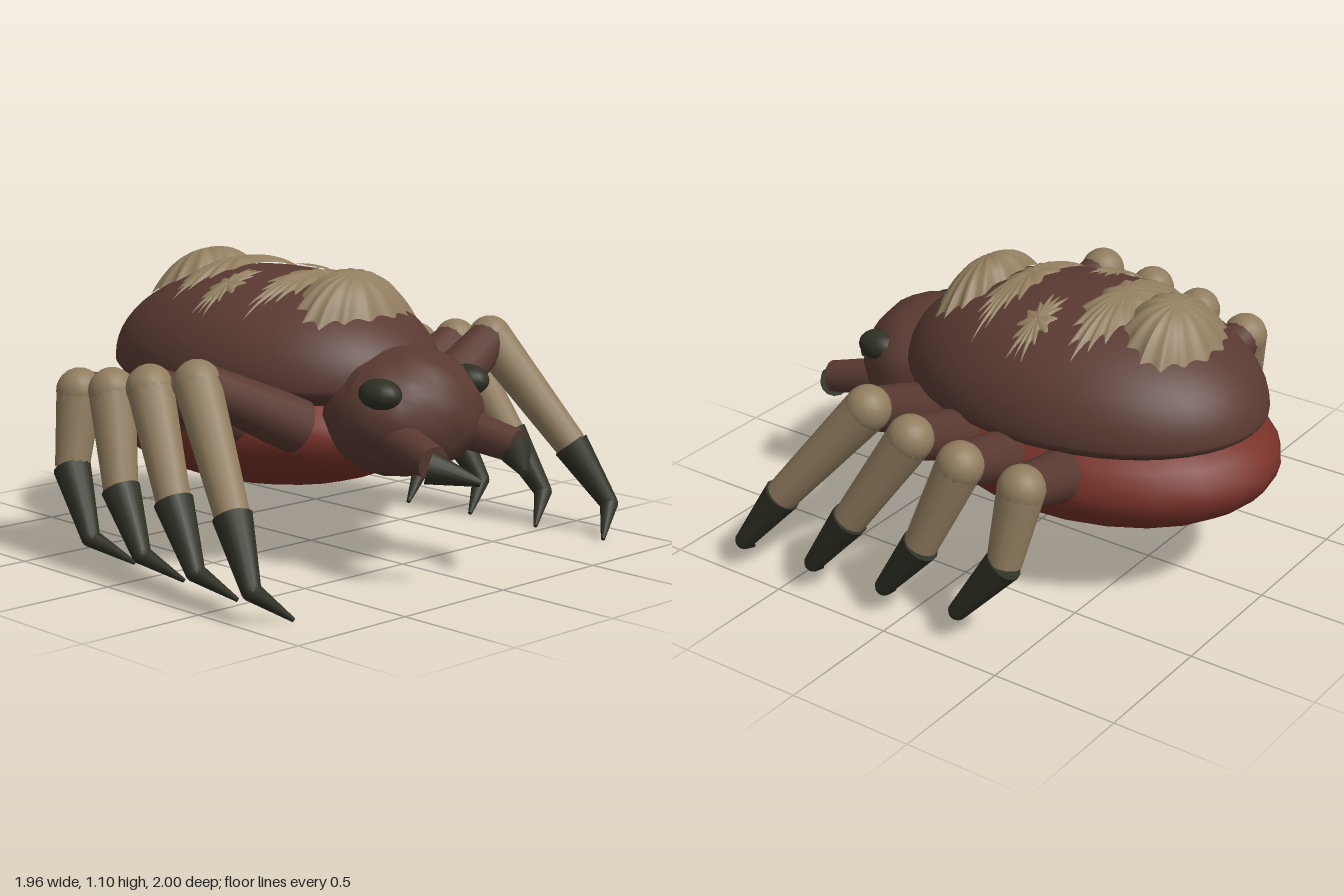
import * as THREE from 'three';

const mat = (name, color) => {
  const m = new THREE.MeshStandardMaterial({ color });
  m.name = name;
  return m;
};

const SHELL = { y: 0.68, z: -0.2, rx: 0.53, ry: 0.38, rz: 0.74 };

// Height of the shell surface above a ground position
function shellY(x, z) {
  const k = 1 - (x / SHELL.rx) ** 2 - ((z - SHELL.z) / SHELL.rz) ** 2;
  return SHELL.y + SHELL.ry * Math.sqrt(Math.max(0, k));
}

function eachVertex(geo, rule) {
  const p = geo.attributes.position, v = new THREE.Vector3();
  for (let i = 0; i < p.count; i++) {
    v.fromBufferAttribute(p, i);
    rule(v);
    p.setXYZ(i, v.x, v.y, v.z);
  }
  geo.computeVertexNormals();
  return geo;
}

export function createModel() {
  const model = new THREE.Group();
  model.name = 'armouredSpider';
  const brown = mat('brown shell', 0x5a3a32);
  const red = mat('red belly', 0x783229);
  const tan = mat('tan markings', 0x917d5f);
  const dark = mat('dark claws', 0x2f3024);

  const add = (name, geo, material, parent = model) => {
    const mesh = new THREE.Mesh(geo, material);
    mesh.name = name;
    parent.add(mesh);
    return mesh;
  };

  const ellipsoid = (name, material, pos, r, w = 20, h = 14, parent = model) => {
    const mesh = add(name, new THREE.SphereGeometry(1, w, h).scale(...r), material, parent);
    mesh.position.set(...pos);
    return mesh;
  };

  // Tapered round limb between two points
  const limb = (name, material, a, b, ra, rb, parent) => {
    const from = new THREE.Vector3(...a), to = new THREE.Vector3(...b);
    const dir = to.clone().sub(from);
    const mesh = add(name, new THREE.CylinderGeometry(rb, ra, dir.length(), 14), material, parent);
    mesh.position.copy(from).add(to).multiplyScalar(0.5);
    mesh.quaternion.setFromUnitVectors(new THREE.Vector3(0, 1, 0), dir.normalize());
  };

  // Body: domed shell with a shallow underside, resting on a red belly
  const shell = eachVertex(new THREE.SphereGeometry(1, 48, 32), (v) => {
    v.set(v.x * SHELL.rx, v.y * SHELL.ry * (v.y < 0 ? 0.35 : 1), v.z * SHELL.rz);
  });
  add('shell', shell, brown).position.set(0, SHELL.y, SHELL.z);
  ellipsoid('belly', red, [0, 0.49, -0.25], [0.545, 0.27, 0.75], 24, 16);

  // Lumpy head
  const head = eachVertex(new THREE.SphereGeometry(1, 32, 22), (v) => {
    const bump = 1 + 0.018 * Math.sin(9 * v.x + 2) * Math.sin(8 * v.y + 1)
      + 0.014 * Math.sin(13 * v.z + 7 * v.y) * Math.cos(11 * v.x);
    v.set(v.x * 0.315 * bump, v.y * 0.24 * bump, v.z * 0.27 * bump);
  });
  add('head', head, brown).position.set(0, 0.585, 0.5);

  // Raised scalloped markings that follow the shell
  const marking = (name, cx, cz, rx, rz, lift, lobes, jag) => {
    const geo = new THREE.RingGeometry(0.001, 1, 96, 10).rotateX(-Math.PI / 2);
    eachVertex(geo, (v) => {
      const r = Math.hypot(v.x, v.z), a = Math.atan2(v.z, Math.abs(v.x));
      const edge = 1 - jag * r * Math.abs(Math.sin(a * lobes / 2))
        - jag * 0.4 * r * Math.sin(a * 3 + cz * 9) ** 2;
      const x = cx + v.x * rx * edge, z = cz + v.z * rz * edge;
      const ripple = 0.006 * Math.cos(a * lobes) * r * (1 - r);
      v.set(x, shellY(x, z) + 0.005 + lift * (1 - r ** 2.5) + ripple, z);
    });
    add(name, geo, tan);
  };
  marking('rearMarking', 0, -0.6, 0.26, 0.17, 0.088, 14, 0.12);
  marking('rearBand', 0, -0.38, 0.37, 0.11, 0.03, 16, 0.2);
  marking('frontBand', 0, 0.045, 0.4, 0.095, 0.014, 18, 0.3);
  marking('frontMarking', 0, 0.25, 0.29, 0.145, 0.085, 14, 0.14);
  for (const s of [1, -1]) {
    marking(s > 0 ? 'leftSpot' : 'rightSpot', s * 0.27, -0.17, 0.18, 0.08, 0.01, 14, 0.4);
  }

  // Each leg: root, knee, shin end, ankle, tip (left side)
  const legs = [
    [[0.36, 0.55, 0.31], [0.765, 0.745, 0.23], [0.89, 0.34, 0.555], [0.945, 0.12, 0.71], [0.82, 0.01, 0.785]],
    [[0.38, 0.53, 0.06], [0.8, 0.705, 0.01], [0.885, 0.34, 0.235], [0.92, 0.12, 0.39], [0.79, 0.01, 0.465]],
    [[0.38, 0.52, -0.17], [0.8, 0.665, -0.21], [0.87, 0.33, -0.08], [0.9, 0.12, 0.07], [0.76, 0.01, 0.14]],
    [[0.38, 0.51, -0.4], [0.765, 0.63, -0.45], [0.83, 0.35, -0.42], [0.88, 0.12, -0.25], [0.73, 0.01, -0.18]],
  ];

  for (const s of [1, -1]) {
    const side = s > 0 ? 'left' : 'right';
    const flip = ([x, y, z]) => [x * s, y, z];

    legs.forEach((points, i) => {
      const leg = new THREE.Group();
      leg.name = `${side}Leg${i + 1}`;
      model.add(leg);
      const [root, knee, shin, ankle, tip] = points.map(flip);
      limb('thigh', brown, root, knee, 0.105, 0.08, leg);
      ellipsoid('knee', tan, knee, [0.088, 0.088, 0.088], 18, 12, leg);
      limb('shin', tan, knee, shin, 0.087, 0.064, leg);
      limb('foot', dark, shin, ankle, 0.072, 0.036, leg);
      ellipsoid('ankle', dark, ankle, [0.036, 0.036, 0.036], 12, 8, leg);
      limb('toe', dark, ankle, tip, 0.036, 0.008, leg);
    });

    // Eyes and jaws
    ellipsoid(`${side}Eye`, dark, [s * 0.23, 0.688, 0.605], [0.07, 0.058, 0.088]);
    limb(`${side}Jaw`, brown, flip([0.165, 0.53, 0.58]), flip([0.22, 0.475, 0.86]), 0.08, 0.063);
    limb(`${side}Fang`, dark, flip([0.225, 0.46, 0.845]), flip([0.115, 0.41, 0.99]), 0.062, 0.014);
  }

  return model;
}
